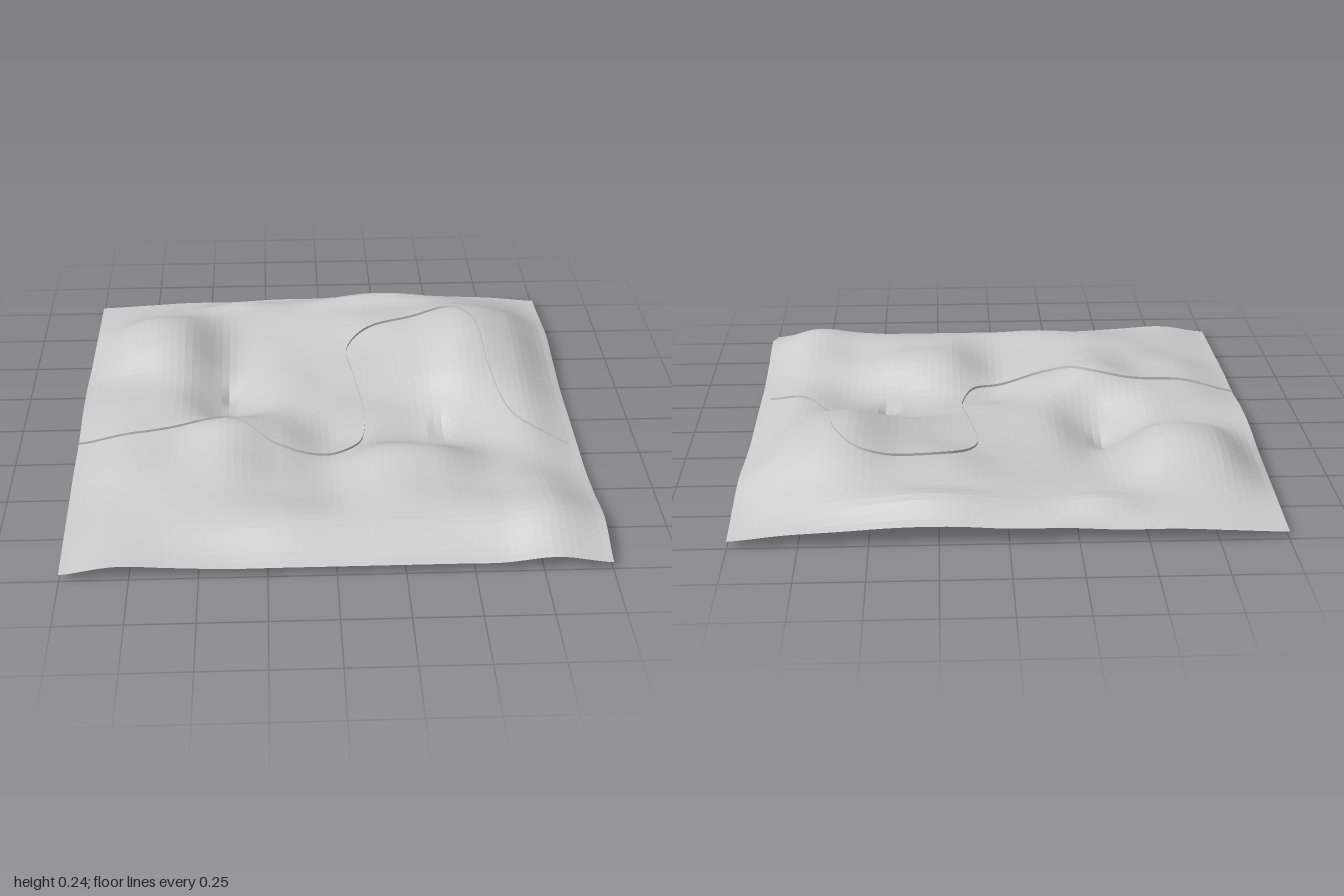
import * as THREE from 'three';

// Ground heights in hundredths: rows run back to front, columns from -x to +x
const HEIGHTS = [
  [3, 4, 5, 5, 6, 6, 7, 7, 6, 5, 3],
  [4, 8, 10, 10, 10, 11, 12, 13, 14, 11, 5],
  [5, 17, 18, 9, 9, 11, 15, 17, 22, 18, 7],
  [6, 17, 18, 6, 9, 11, 13, 17, 23, 18, 5],
  [8, 10, 10, 2, 10, 11, 12, 14, 18, 14, 3],
  [8, 10, 11, 5, 10, 10, 8, 6, 9, 10, 3],
  [6, 11, 13, 17, 13, 5, 6, 4, 5, 8, 3],
  [6, 11, 12, 15, 10, 7, 15, 15, 9, 7, 3],
  [5, 8, 11, 12, 10, 9, 14, 13, 10, 11, 5],
  [4, 7, 9, 11, 12, 11, 11, 11, 12, 14, 8],
  [3, 6, 5, 4, 4, 4, 4, 4, 4, 6, 3],
];

// Local details [x, z, radius in x, radius in z, height]: back ridges, pinched clefts
const DETAILS = [
  [0.25, -0.89, 0.3, 0.07, 0.045],
  [-0.35, -0.88, 0.15, 0.06, 0.03],
  [-0.4, -0.2, 0.03, 0.07, -0.02],
  [0.46, 0.1, 0.03, 0.07, -0.02],
];

// Smooth interpolation through a row of values
function spline(values, t) {
  const last = values.length - 1;
  const i = Math.min(Math.floor(t), last - 1);
  const f = t - i;
  const [a, b, c, d] = [-1, 0, 1, 2].map(
    (k) => values[THREE.MathUtils.clamp(i + k, 0, last)]);
  return b + 0.5 * f * (c - a + f * (2 * a - 5 * b + 4 * c - d + f * (3 * (b - c) + d - a)));
}

function groundHeight(x, z) {
  const u = THREE.MathUtils.clamp((x + 1) * 5, 0, 10);
  const v = THREE.MathUtils.clamp((z + 1) * 5, 0, 10);
  let h = spline(HEIGHTS.map((row) => spline(row, u)), v) / 100;
  for (const [cx, cz, rx, rz, rise] of DETAILS) {
    h += rise * Math.exp(-(((x - cx) / rx) ** 2) - ((z - cz) / rz) ** 2);
  }
  return Math.max(0, h);
}

function makeTerrain(material) {
  const geometry = new THREE.PlaneGeometry(2, 2, 64, 64).rotateX(-Math.PI / 2);
  const p = geometry.attributes.position;
  for (let i = 0; i < p.count; i++) p.setY(i, groundHeight(p.getX(i), p.getZ(i)));
  geometry.computeVertexNormals();
  const mesh = new THREE.Mesh(geometry, material);
  mesh.name = 'terrain';
  return mesh;
}

// Thin upright band following the ground along a winding line
function makeTrail(material) {
  const route = [
    [-1, 0.2], [-0.75, 0.21], [-0.5, 0.18], [-0.38, 0.2], [-0.22, 0.31],
    [-0.06, 0.32], [0.1, 0.26], [0.15, 0.1], [0.12, -0.2], [0.1, -0.42],
    [0.18, -0.54], [0.35, -0.6], [0.55, -0.62], [0.64, -0.5],
    [0.69, -0.15], [0.78, 0.12], [0.96, 0.24],
  ];
  const curve = new THREE.CatmullRomCurve3(
    route.map(([x, z]) => new THREE.Vector3(x, 0, z)));
  const steps = 160;
  const geometry = new THREE.PlaneGeometry(1, 1, steps, 1);
  const p = geometry.attributes.position;
  for (let i = 0; i <= steps; i++) {
    const { x, z } = curve.getPointAt(i / steps);
    const y = groundHeight(x, z);
    p.setXYZ(i, x, y + 0.01, z);
    p.setXYZ(i + steps + 1, x, Math.max(0, y - 0.008), z);
  }
  geometry.computeVertexNormals();
  const mesh = new THREE.Mesh(geometry, material);
  mesh.name = 'trailEdge';
  return mesh;
}

export function createModel() {
  const material = new THREE.MeshStandardMaterial({
    color: 0xcccccc, side: THREE.DoubleSide, flatShading: true,
  });
  const group = new THREE.Group();
  group.name = 'hillyLandscape';
  group.add(makeTerrain(material), makeTrail(material));
  return group;
}
